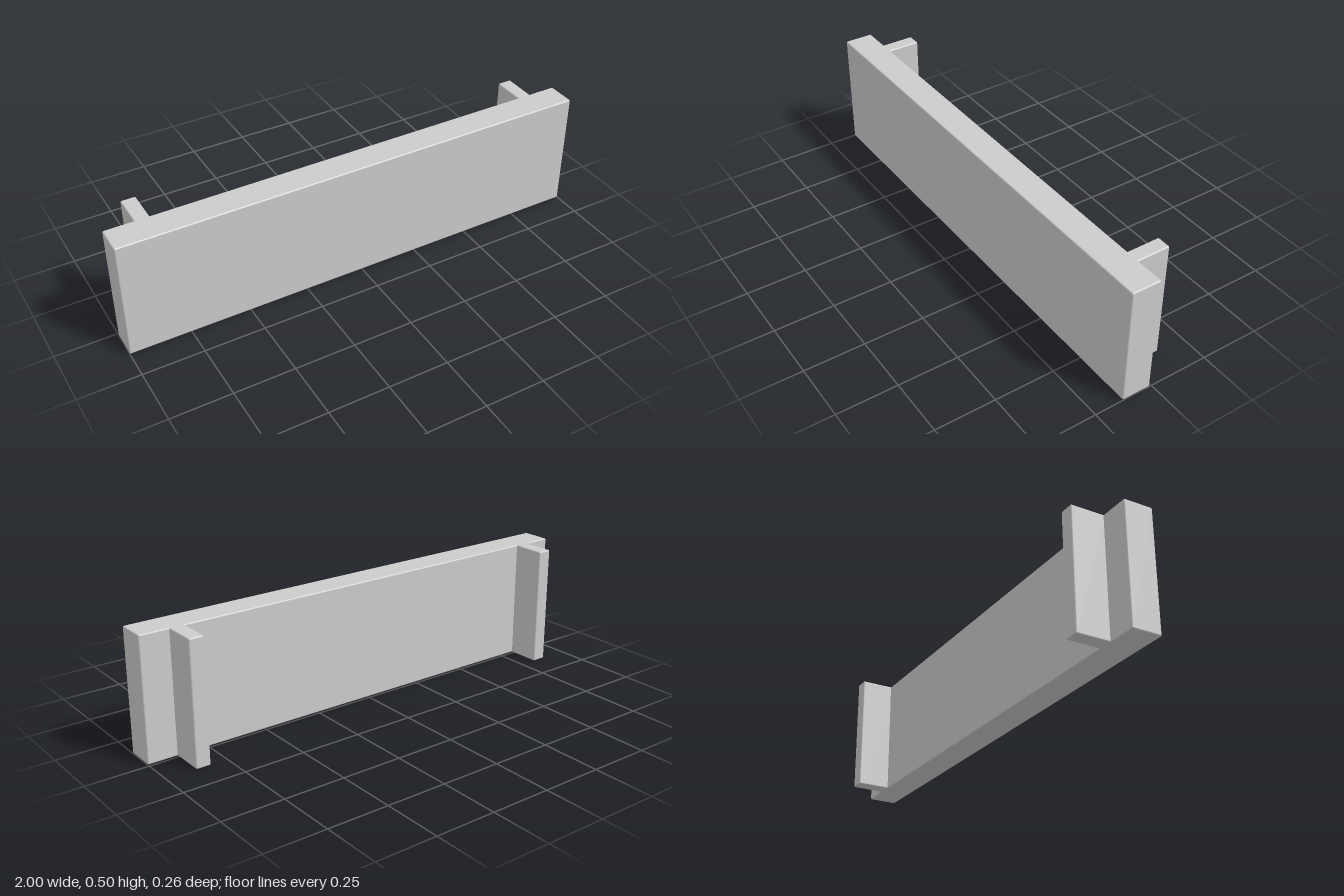
import * as THREE from 'three';
import { RoundedBoxGeometry } from 'three/addons/geometries/RoundedBoxGeometry.js';

const HEIGHT = 0.5;
const EDGE = 0.006;

export function createModel() {
  const group = new THREE.Group();
  const material = new THREE.MeshStandardMaterial({ color: 0xcccccc });

  // Softly rounded block spanning the full height, given by its x centre, width and z range
  const addBlock = (name, x, width, zBack, zFront) => {
    const geometry = new RoundedBoxGeometry(width, HEIGHT, zFront - zBack, 3, EDGE);
    const mesh = new THREE.Mesh(geometry, material);
    mesh.name = name;
    mesh.position.set(x, HEIGHT / 2, (zBack + zFront) / 2);
    group.add(mesh);
  };

  // Long front panel
  addBlock('frontPanel', 0, 2, 0.008, 0.13);

  // Mirrored upright ribs on the back, set slightly into the panel
  for (const side of [1, -1]) {
    addBlock(side > 0 ? 'leftBackRib' : 'rightBackRib', side * 0.85, 0.06, -0.13, 0.02);
  }

  return group;
}
